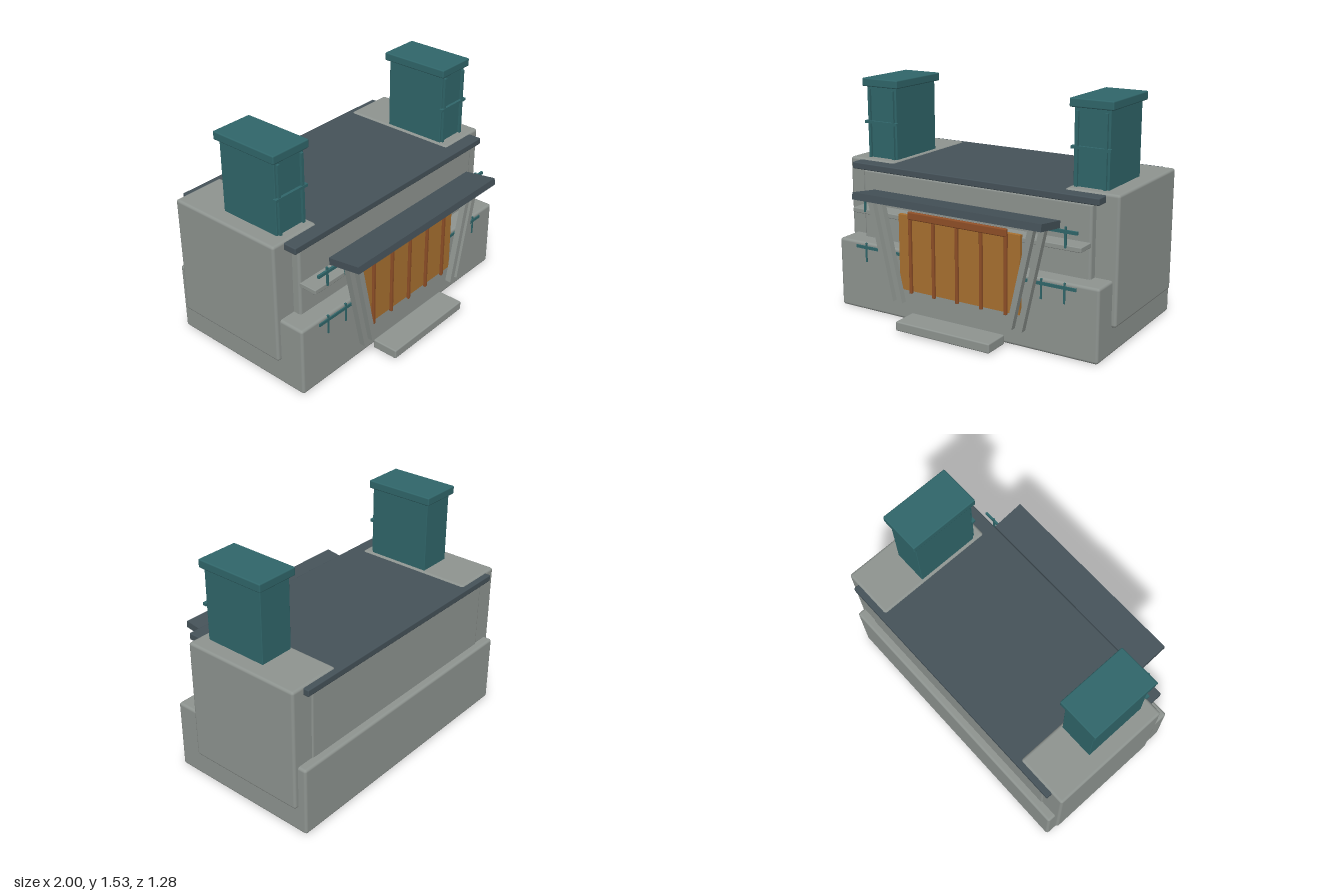
import * as THREE from 'three';
import { RoundedBoxGeometry } from 'three/addons/geometries/RoundedBoxGeometry.js';

const flat = (name, color) => {
  const m = new THREE.MeshStandardMaterial({ color });
  m.name = name;
  return m;
};

export function createModel() {
  const stone = flat('grey stone', 0x8e9490);
  const slate = flat('dark slate', 0x455259);
  const teal = flat('teal metal', 0x30666a);
  const amber = flat('amber panel', 0xa87030);
  const rust = flat('rust trim', 0x8f4f27);

  const model = new THREE.Group();
  model.name = 'building';

  // Box given by its limits on each axis, with an optional rounded edge
  function box(name, mat, [x0, x1], [y0, y1], [z0, z1], r = 0) {
    const s = [x1 - x0, y1 - y0, z1 - z0];
    const geo = r ? new RoundedBoxGeometry(...s, 2, r) : new THREE.BoxGeometry(...s);
    const mesh = new THREE.Mesh(geo, mat);
    mesh.name = name;
    mesh.position.set((x0 + x1) / 2, (y0 + y1) / 2, (z0 + z1) / 2);
    model.add(mesh);
    return mesh;
  }
  // Limits mirrored to the given side
  const side = (s, a, b) => (s > 0 ? [a, b] : [-b, -a]);
  const around = (c, w) => [c - w / 2, c + w / 2];

  // Main masses
  box('base', stone, [-0.968, 0.968], [0.003, 0.477], [-0.638, 0.428], 0.018);
  box('upperBody', stone, [-0.85, 0.85], [0.2, 0.942], [-0.587, 0.308], 0.018);
  box('roof', slate, [-0.91, 0.91], [0.945, 0.99], [-0.617, 0.341], 0.007);
  box('frontLedge', stone, [-0.845, 0.845], [0.674, 0.706], [0.29, 0.427], 0.005);
  box('step', stone, [-0.352, 0.348], [0.012, 0.075], [0.459, 0.641], 0.009);

  // Door panel with slats and a head rail
  box('doorPanel', amber, [-0.45, 0.45], [0.22, 0.725], [0.425, 0.453]);
  for (let i = -2; i <= 2; i++) {
    box('doorSlat', rust, around(i * 0.178, 0.02), [0.207, 0.725], [0.45, 0.469], 0.003);
  }
  box('doorHeadRail', rust, [-0.367, 0.365], [0.704, 0.756], [0.45, 0.475], 0.008);

  // Tilted canopy, higher at its front edge
  const canopy = box('canopy', slate, [-0.687, 0.687], [0.81, 0.856], [0.393, 0.621]);
  canopy.rotation.x = -0.14;

  for (const s of [-1, 1]) {
    // Side blocks
    box('sideBlock', stone, side(s, 0.637, 0.998), [0.18, 1.0], [-0.58, 0.252], 0.018);

    // Towers with caps and front pipes
    box('tower', teal, side(s, 0.657, 0.894), [0.98, 1.48], [-0.256, 0.181], 0.004);
    box('towerCap', teal, side(s, 0.632, 0.919), [1.477, 1.532], [-0.28, 0.204], 0.008);
    for (const x of [0.68, 0.871]) {
      box('towerPipe', teal, around(s * x, 0.018), [0.98, 1.458], [0.175, 0.197]);
    }
    box('towerBand', teal, side(s, 0.645, 0.907), [1.23, 1.248], [0.175, 0.2]);

    // Slanted canopy posts in pairs
    for (const x of [0.485, 0.558]) {
      const post = box('canopyPost', stone, around(s * x, 0.038), around(0.475, 0.68), [0.473, 0.514]);
      post.rotation.z = -s * 0.22;
    }

    // Wall rails with short uprights, in two rows
    for (const y of [0.79, 0.445]) {
      box('wallRail', teal, side(s, 0.46, 0.822), around(y, 0.02), [0.422, 0.436]);
      for (const x of [0.585, 0.742]) {
        box('wallRailUpright', teal, around(s * x, 0.012), [y - 0.1, y + 0.03], [0.422, 0.434]);
      }
    }
  }
  return model;
}
